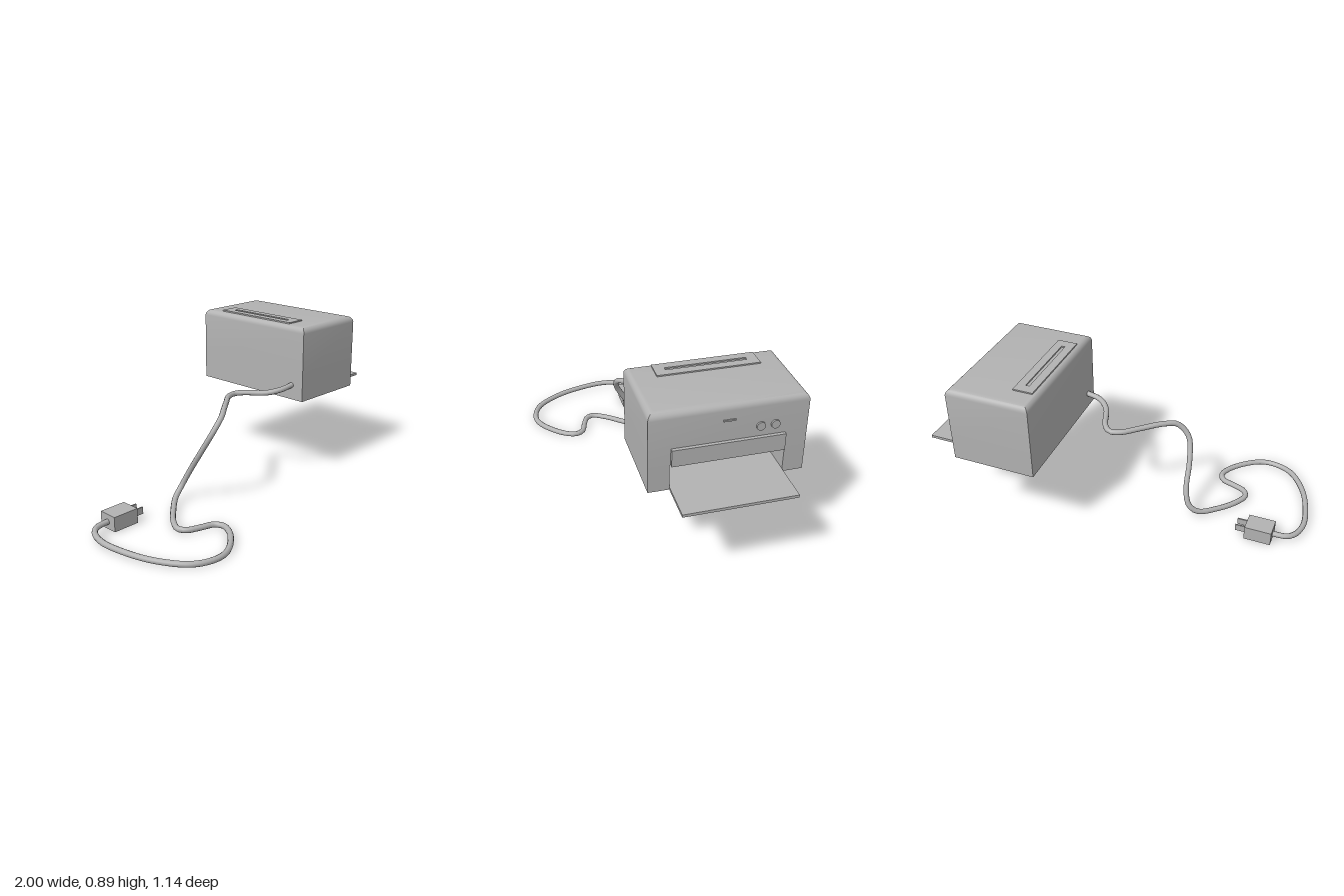
import * as THREE from 'three';
import { toCreasedNormals } from 'three/addons/utils/BufferGeometryUtils.js';

const X0 = 0.33, X1 = 0.79, Z0 = -0.57, Z1 = 0.205; // body footprint
const BASE = 0.465, TOP = 0.89;
const OPEN_Y0 = 0.48, OPEN_Y1 = 0.605, OPEN_Z0 = -0.465, OPEN_Z1 = 0.1; // paper outlet
const OPEN_X = 0.49;

// Box given by its extents
function box(name, mat, x0, x1, y0, y1, z0, z1) {
  const mesh = new THREE.Mesh(new THREE.BoxGeometry(x1 - x0, y1 - y0, z1 - z0), mat);
  mesh.position.set((x0 + x1) / 2, (y0 + y1) / 2, (z0 + z1) / 2);
  mesh.name = name;
  return mesh;
}

// Upper housing: stacked rectangles whose inset rounds the top edges
function housingTop(radius, steps) {
  const rings = [[0, OPEN_Y1]];
  for (let i = 0; i <= steps; i++) {
    const a = (i / steps) * Math.PI / 2;
    rings.push([radius * (1 - Math.cos(a)), TOP - radius + radius * Math.sin(a)]);
  }
  const pos = [], idx = [];
  for (const [d, y] of rings) {
    pos.push(X0 + d, y, Z1 - d, X1 - d, y, Z1 - d, X1 - d, y, Z0 + d, X0 + d, y, Z0 + d);
  }
  for (let r = 0; r < rings.length - 1; r++) {
    for (let k = 0; k < 4; k++) {
      const a = r * 4 + k, b = r * 4 + (k + 1) % 4;
      idx.push(a, b, b + 4, a, b + 4, a + 4);
    }
  }
  const t = (rings.length - 1) * 4;
  idx.push(t, t + 1, t + 2, t, t + 2, t + 3, 0, 2, 1, 0, 3, 2);
  const geo = new THREE.BufferGeometry();
  geo.setAttribute('position', new THREE.Float32BufferAttribute(pos, 3));
  geo.setIndex(idx);
  return toCreasedNormals(geo, 0.6);
}

// Rectangle path, used for the slot plate and its hole
function rect(path, x0, x1, y0, y1) {
  path.moveTo(x0, y0);
  path.lineTo(x1, y0);
  path.lineTo(x1, y1);
  path.lineTo(x0, y1);
  path.closePath();
  return path;
}

export function createModel() {
  const model = new THREE.Group();
  model.name = 'printer';
  const grey = new THREE.MeshStandardMaterial({ color: 0xb2b2b2 });
  grey.name = 'plain grey';

  // Housing, hollow around the paper outlet
  const housing = new THREE.Group();
  housing.name = 'housing';
  const top = new THREE.Mesh(housingTop(0.035, 6), grey);
  top.name = 'housingTop';
  housing.add(
    top,
    box('housingBack', grey, X0, OPEN_X, BASE, OPEN_Y1, Z0, Z1),
    box('housingSideFar', grey, OPEN_X, X1, BASE, OPEN_Y1, Z0, OPEN_Z0),
    box('housingSideNear', grey, OPEN_X, X1, BASE, OPEN_Y1, OPEN_Z1, Z1),
  );
  model.add(housing);

  // Paper tray, running from inside the outlet, and the panel above it
  model.add(
    box('paperTray', grey, OPEN_X, 1.0, BASE, OPEN_Y0, OPEN_Z0, OPEN_Z1),
    box('outletPanel', grey, X1, 0.808, OPEN_Y1, 0.695, -0.46, 0.096),
    box('indicator', grey, X1, 0.796, 0.802, 0.81, -0.21, -0.15),
  );

  // Round buttons
  for (const z of [-0.335, -0.407]) {
    const button = new THREE.Mesh(new THREE.CylinderGeometry(0.022, 0.022, 0.01, 24), grey);
    button.rotation.z = -Math.PI / 2;
    button.position.set(X1 + 0.004, 0.75, z);
    button.name = 'button';
    model.add(button);
  }

  // Raised plate with the paper feed slot
  const plate = rect(new THREE.Shape(), 0.36, 0.47, -0.075, 0.45);
  plate.holes.push(rect(new THREE.Path(), 0.405, 0.425, -0.02, 0.395));
  const plateGeo = new THREE.ExtrudeGeometry(plate, { depth: 0.008, bevelEnabled: false });
  const feedSlot = new THREE.Mesh(plateGeo.rotateX(-Math.PI / 2), grey);
  feedSlot.position.y = TOP - 0.001;
  feedSlot.name = 'feedSlot';
  model.add(feedSlot);

  // Power cord
  const path = [
    [0.35, 0.552, 0.127], [0.25, 0.537, 0.115], [0.19, 0.52, 0.06], [0.14, 0.505, -0.07],
    [0.1, 0.5, -0.105], [0.04, 0.5, -0.09], [-0.05, 0.503, -0.02], [-0.15, 0.505, 0.06],
    [-0.22, 0.488, 0.11], [-0.285, 0.42, 0.112], [-0.315, 0.3, 0.05], [-0.327, 0.17, -0.03],
    [-0.355, 0.085, -0.064], [-0.405, 0.042, -0.055], [-0.5, 0.022, 0.03], [-0.58, 0.018, 0.12],
    [-0.62, 0.018, 0.2], [-0.6, 0.018, 0.24], [-0.53, 0.018, 0.27], [-0.46, 0.018, 0.295],
    [-0.438, 0.018, 0.34], [-0.46, 0.018, 0.4], [-0.53, 0.018, 0.48], [-0.63, 0.018, 0.545],
    [-0.72, 0.018, 0.55], [-0.82, 0.02, 0.505], [-0.92, 0.024, 0.36], [-0.97, 0.028, 0.2],
    [-0.985, 0.032, 0.06], [-0.96, 0.036, -0.03], [-0.92, 0.04, -0.07], [-0.83, 0.043, -0.08],
  ].map((p) => new THREE.Vector3(...p));
  const cord = new THREE.Mesh(
    new THREE.TubeGeometry(new THREE.CatmullRomCurve3(path), 120, 0.0155, 10), grey);
  cord.name = 'powerCord';
  model.add(cord);

  // Plug with two flat prongs
  const plug = new THREE.Group();
  plug.name = 'plug';
  plug.add(box('plugBody', grey, -0.845, -0.697, 0.003, 0.084, -0.132, -0.022));
  for (const z of [-0.103, -0.051]) {
    plug.add(box('prong', grey, -0.7, -0.64, 0.026, 0.064, z - 0.004, z + 0.004));
  }
  model.add(plug);

  // Stand on the ground
  model.position.y = -0.0025;
  return model;
}
